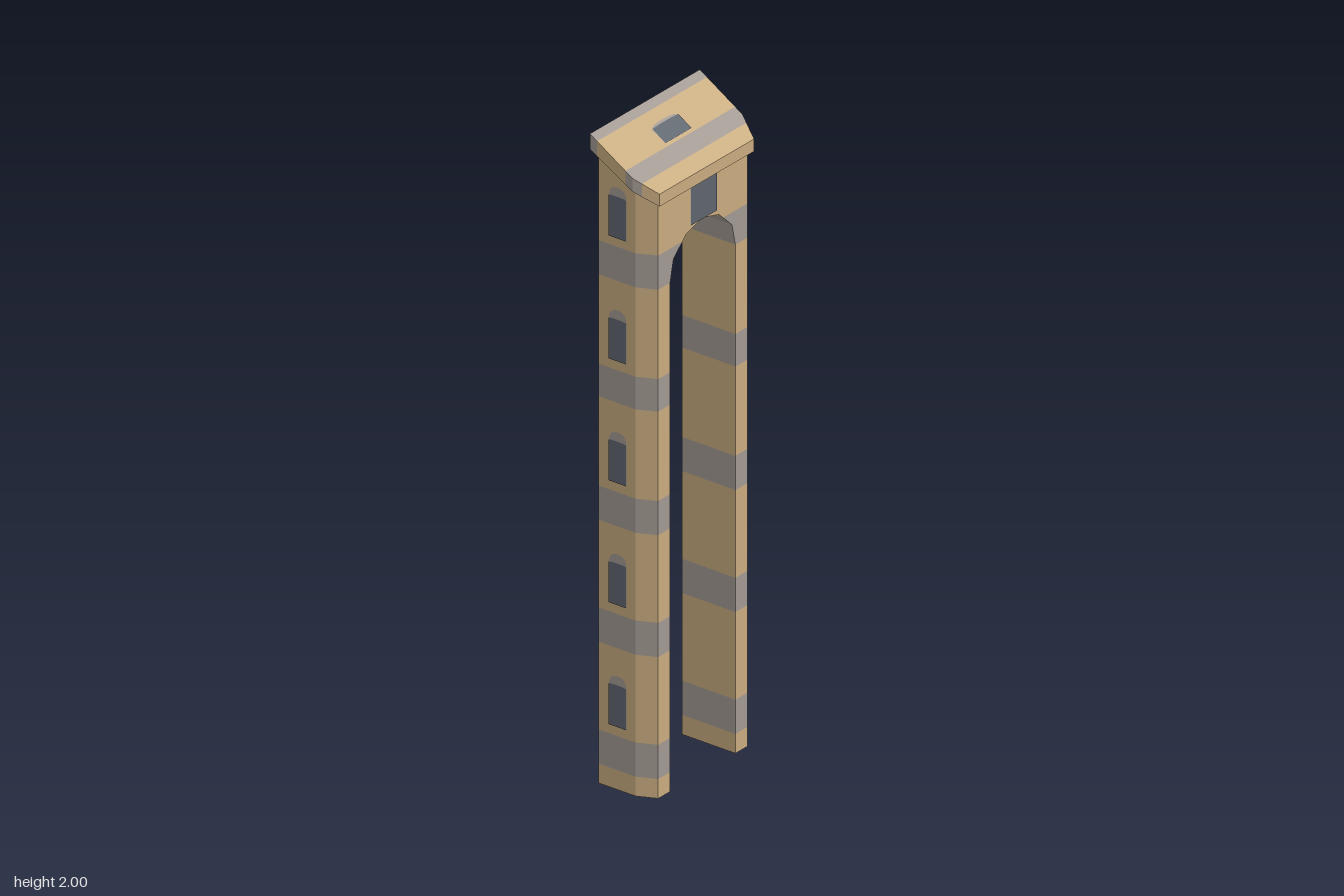
import * as THREE from 'three';

const material = (name, color) => Object.assign(new THREE.MeshStandardMaterial({ color }), { name });

// Collects flat quads and fans, then makes one mesh per colour
class Faces {
  constructor() { this.lists = new Map(); }
  poly(mat, ...p) {
    if (!this.lists.has(mat)) this.lists.set(mat, []);
    const out = this.lists.get(mat);
    for (let i = 1; i < p.length - 1; i++) out.push(...p[0], ...p[i], ...p[i + 1]);
  }
  // Upright walls along [x, z] points; outside is to the right of travel
  walls(mat, points, bottom, top) {
    for (let i = 0; i < points.length - 1; i++) {
      const [a, b] = [points[i], points[i + 1]];
      this.poly(mat, [a[0], bottom, a[1]], [b[0], bottom, b[1]], [b[0], top(b[1]), b[1]], [a[0], top(a[1]), a[1]]);
    }
  }
  build(name) {
    const group = new THREE.Group();
    group.name = name;
    for (const [mat, list] of this.lists) {
      const g = new THREE.BufferGeometry();
      g.setAttribute('position', new THREE.Float32BufferAttribute(list, 3));
      g.computeVertexNormals();
      const mesh = new THREE.Mesh(g, mat);
      mesh.name = name + ' ' + mat.name;
      group.add(mesh);
    }
    return group;
  }
}

// Mirrors a run of points in x, reversing it so it still faces outward
const mirror = (pts) => pts.map(([x, ...r]) => [-x, ...r]).reverse();
const both = (pts) => [pts, mirror(pts)];

export function createModel() {
  const tan = material('tan stone', 0xc8ab80);
  const grey = material('grey stone', 0xa29992);
  const dark = material('window slate', 0x5f656e);
  const model = new THREE.Group();
  model.name = 'arched tower';

  const D = 0.093, IN = 0.145, FRONT = 0.198, OUT = 0.225, CH = 0.035;
  const SPRING = 1.565, BAND = 1.67;
  const under = (z) => 1.83 + (0.107 - z) * 0.567;
  const over = (z) => 1.868 + (0.107 - z) * 0.614;

  // Legs with alternating stone bands
  const legs = new Faces();
  const foot = [[IN, D], [FRONT, D], [OUT, CH], [OUT, -D], [IN, -D], [IN, D]];
  const levels = [0, 0.06, 0.165, 0.435, 0.54, 0.81, 0.915, 1.19, 1.29, SPRING];
  for (const outline of both(foot)) {
    for (let i = 0; i < levels.length - 1; i++)
      legs.walls(i % 2 ? grey : tan, outline, levels[i], () => levels[i + 1]);
    legs.poly(tan, ...outline.slice(0, 5).map(([x, z]) => [x, 0, z]).reverse());
  }
  model.add(legs.build('leg'));

  // Arch head: outer side walls
  const head = new Faces();
  for (const side of both([[FRONT, D], [OUT, CH], [OUT, -D]])) {
    head.walls(grey, side, SPRING, () => BAND);
    head.walls(tan, side, BAND, under);
  }
  // Front and back faces around the arch opening
  const low = [[IN, SPRING], [0.13, 1.632], [0.09, BAND]];
  const high = [[0.09, BAND], [0.072, 1.687], [0, 1.707]];
  for (const [z, w] of [[D, FRONT], [-D, OUT]]) {
    const top = under(z);
    const flat = (mat, pts) => {
      const shape = new THREE.Shape(pts.map(([x, y]) => new THREE.Vector2(x, y)));
      const g = new THREE.ShapeGeometry(shape).toNonIndexed();
      const pos = g.attributes.position;
      for (let i = 0; i < pos.count; i += 3) {
        const tri = [0, 1, 2].map((k) => [pos.getX(i + k), pos.getY(i + k), z]);
        head.poly(mat, ...(z > 0 ? tri : tri.reverse()));
      }
    };
    for (const spandrel of both([...low, [w, BAND], [w, SPRING]])) flat(grey, spandrel);
    flat(tan, [[w, BAND], [w, top], [-w, top], [-w, BAND], ...mirror(high).reverse(), ...[...high].reverse().slice(1)]);
  }
  // Underside of the arch
  for (const [mat, run] of [[grey, low], [tan, high]])
    for (const r of both(run))
      for (let i = 0; i < r.length - 1; i++) {
        const [[x0, y0], [x1, y1]] = [r[i], r[i + 1]];
        head.poly(mat, [x0, y0, -D], [x0, y0, D], [x1, y1, D], [x1, y1, -D]);
      }
  model.add(head.build('arch head'));

  // Sloping roof slab, cut into bands from front to back
  const roof = new Faces();
  const half = (z) => (z > 0.04 ? 0.244 - 0.034 * (z - 0.04) / 0.067 : 0.244);
  const cuts = [[0.107, tan], [0.063, grey], [0.04, grey], [0.015, tan], [-0.083, grey], [-0.108, grey]];
  for (let i = 0; i < cuts.length - 1; i++) {
    const [a, mat] = cuts[i], b = cuts[i + 1][0];
    const [p, q] = [half(a), half(b)];
    roof.poly(mat, [-p, over(a), a], [p, over(a), a], [q, over(b), b], [-q, over(b), b]);
    roof.poly(mat, [-q, under(b), b], [q, under(b), b], [p, under(a), a], [-p, under(a), a]);
    roof.poly(mat, [p, under(a), a], [q, under(b), b], [q, over(b), b], [p, over(a), a]);
    roof.poly(mat, [-q, under(b), b], [-p, under(a), a], [-p, over(a), a], [-q, over(b), b]);
  }
  for (const [z, mat] of [[0.107, tan], [-0.108, grey]]) {
    const w = half(z) * Math.sign(z);
    roof.poly(mat, [-w, under(z), z], [w, under(z), z], [w, over(z), z], [-w, over(z), z]);
  }
  model.add(roof.build('roof'));

  // Windows: dark pane with a curved grey lintel behind it
  const panel = (w, h, rise) => {
    const s = new THREE.Shape();
    s.moveTo(-w / 2, 0).lineTo(w / 2, 0).lineTo(w / 2, h);
    s.quadraticCurveTo(w / 2, h + rise, 0, h + rise);
    s.quadraticCurveTo(-w / 2, h + rise, -w / 2, h);
    return new THREE.ShapeGeometry(s, 5);
  };
  const addWindow = (name, w, h, rise, position, rx, ry) => {
    const group = new THREE.Group();
    group.name = name;
    const lintel = new THREE.Mesh(panel(w, h, rise), grey);
    lintel.name = 'window lintel';
    lintel.position.z = 0.002;
    const pane = new THREE.Mesh(panel(w, h, 0.003), dark);
    pane.name = 'window pane';
    pane.position.z = 0.004;
    group.add(lintel, pane);
    group.position.set(...position);
    group.rotation.set(rx, ry, 0);
    model.add(group);
  };
  for (const y of [0.195, 0.57, 0.945, 1.32, 1.698])
    for (const s of [-1, 1])
      addWindow('sideWindow', 0.06, 0.125, 0.03, [s * OUT, y, -0.025], 0, s * Math.PI / 2);
  addWindow('frontWindow', 0.115, 0.115, 0.014, [0, 1.707, D], 0, 0);
  addWindow('backWindow', 0.115, 0.115, 0.014, [0, 1.707, -D], 0, Math.PI);
  addWindow('roofWindow', 0.115, 0.053, 0.012, [0, over(0.007), 0.007], Math.atan(0.614) - Math.PI / 2, 0);

  return model;
}
